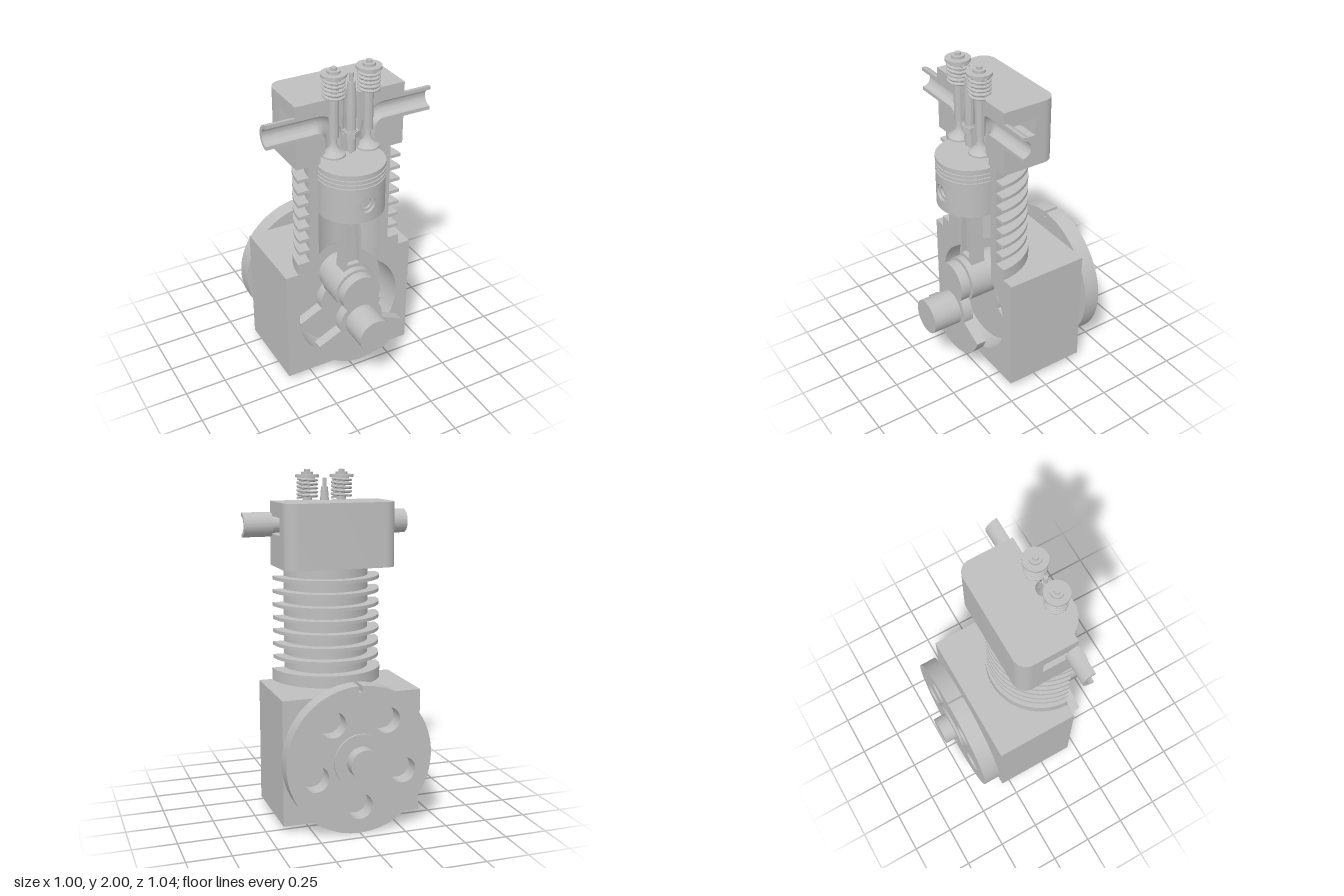
import * as THREE from 'three';
import { toCreasedNormals } from 'three/addons/utils/BufferGeometryUtils.js';

const Z = 0.195;   // cutting plane and cylinder axis
const ZB = -0.005; // depth of the cut cavities
const C = 0.427;   // crankshaft height
const PIN = 0.607; // crankpin height
const V = (p) => new THREE.Vector2(p[0], p[1]);

// Points along an arc, angles in degrees
function arc(cx, cy, r, a0, a1, n = 32) {
  return Array.from({ length: n + 1 }, (_, i) => {
    const a = (a0 + (a1 - a0) * i / n) * Math.PI / 180;
    return [cx + r * Math.cos(a), cy + r * Math.sin(a)];
  });
}

function shapeOf(pts, holes = []) {
  const s = new THREE.Shape(pts.map(V));
  for (const h of holes) s.holes.push(new THREE.Path(h.map(V)));
  return s;
}

// Extrude an outline in x,y from z0 to z1
function extZ(pts, z0, z1, holes) {
  const g = new THREE.ExtrudeGeometry(shapeOf(pts, holes), { depth: z1 - z0, bevelEnabled: false });
  return g.translate(0, 0, z0);
}

// Extrude an outline in x,-z from y0 to y1
function extY(pts, y0, y1) {
  const g = new THREE.ExtrudeGeometry(shapeOf(pts), { depth: y1 - y0, bevelEnabled: false });
  return g.rotateX(-Math.PI / 2).translate(0, y0, 0);
}

function lathe(pts, start = 0, len = Math.PI * 2, n = 48) {
  return new THREE.LatheGeometry(pts.map(V), n, start, len);
}

// Surface over a grid of nu by nv cells
function grid(nu, nv, fn) {
  const g = new THREE.PlaneGeometry(1, 1, nu, nv), p = g.attributes.position;
  for (let i = 0; i < p.count; i++) {
    p.setXYZ(i, ...fn(i % (nu + 1), Math.floor(i / (nu + 1))));
  }
  g.computeVertexNormals();
  return g;
}

const cylZ = (r, z0, z1, y) =>
  new THREE.CylinderGeometry(r, r, z1 - z0, 48).rotateX(Math.PI / 2).translate(0, y, (z0 + z1) / 2);

// Block with a half-round vertical bore, open to the cutting plane
const halfBore = (r, y0, y1) =>
  extY([...arc(0, -Z, r, 0, 180), [-r, 0.02], [r, 0.02]], y0, y1);

export function createModel() {
  const model = new THREE.Group();
  const metal = new THREE.MeshStandardMaterial({ color: 0xbfbfbf, side: THREE.DoubleSide });
  metal.name = 'grey metal';
  const add = (name, geo, x = 0, z = 0) => {
    const m = new THREE.Mesh(toCreasedNormals(geo, 0.5), metal);
    m.name = name;
    m.position.set(x, 0, z);
    model.add(m);
    return m;
  };

  // Crankcase with round cavity open to the bore
  const yc = Math.sqrt(0.33 ** 2 - 0.2 ** 2), ac = Math.atan2(yc, 0.2) * 180 / Math.PI;
  add('crankcaseFront', extZ([[-0.41, 0.04], [0.41, 0.04], [0.41, 0.77], [0.2, 0.77],
    ...arc(0, C, 0.33, ac, -180 - ac, 72), [-0.2, 0.77], [-0.41, 0.77]], ZB, Z));
  add('crankcaseBack', new THREE.BoxGeometry(0.82, 0.73, 0.3).translate(0, 0.405, -0.155));
  const throat = halfBore(0.2, 0.6, 0.77), tp = throat.attributes.position;
  for (let i = 0; i < tp.count; i++) {
    if (tp.getY(i) < 0.65) tp.setY(i, C + Math.sqrt(Math.max(0, 0.33 ** 2 - tp.getX(i) ** 2)));
  }
  add('crankcaseThroat', throat);

  // Half cylinder barrel with cooling fins
  const barrel = [[0.2, 0.77], [0.33, 0.77], [0.33, 0.84], [0.255, 0.84]];
  for (let i = 0; i < 7; i++) {
    const y = 0.912 + i * 0.078;
    barrel.push([0.255, y - 0.01], [0.322, y - 0.01], [0.322, y + 0.01], [0.255, y + 0.01]);
  }
  barrel.push([0.255, 1.455], [0.2, 1.455]);
  add('barrel', lathe([...barrel, barrel[0]], Math.PI / 2, Math.PI), 0, Z);
  for (const s of [1, -1]) {
    add('barrelCutFace', new THREE.ShapeGeometry(shapeOf(barrel.map(([x, y]) => [s * x, y]))), 0, Z);
  }

  // Cylinder head
  add('headBack', extY([[-0.33, -ZB], [0.33, -ZB], ...arc(0.255, 0.065, 0.075, 0, 90, 10),
    ...arc(-0.255, 0.065, 0.075, 90, 180, 10)], 1.455, 1.825));
  add('chamber', halfBore(0.185, 1.455, 1.495));
  add('plugThreadHole', halfBore(0.03, 1.495, 1.6));
  add('plugRecess', halfBore(0.05, 1.6, 1.825));
  const upper = [[0.03, 1.495], [0.055, 1.495], ...arc(0.205, 1.59, 0.15, 180, 90, 14),
    [0.33, 1.74], [0.33, 1.825], [0.05, 1.825], [0.05, 1.6], [0.03, 1.6]];
  const lower = [[0.185, 1.455], [0.33, 1.455], [0.33, 1.64],
    ...arc(0.205, 1.59, 0.05, 90, 180, 14), [0.155, 1.495], [0.185, 1.495]];
  const path = [[0.105, 1.495, 180], ...arc(0.205, 1.59, 0.1, 180, 90, 14)
    .map((p, i) => [...p, 180 - i * 90 / 14]), [0.5, 1.69, 90]];

  for (const s of [1, -1]) {
    const side = s > 0 ? 'left' : 'right';
    const mir = (pts) => pts.map(([x, y]) => [s * x, y]);
    add(side + 'HeadUpper', extZ(mir(upper), ZB, Z));
    add(side + 'HeadLower', extZ(mir(lower), ZB, Z));

    // Half-round port channel and its pipe
    add(side + 'Port', grid(path.length - 1, 20, (i, j) => {
      const [x, y, deg] = path[i], a = j / 20 * Math.PI, d = deg * Math.PI / 180;
      const k = 0.05 * Math.cos(a);
      return [s * (x + k * Math.cos(d)), y + k * Math.sin(d), Z - 0.05 * Math.sin(a)];
    }));
    const pipe = extZ([...arc(0, 0, 0.071, 0, 180), ...arc(0, 0, 0.05, 180, 0)], 0, 0.17);
    pipe.rotateZ(Math.PI / 2).rotateY(Math.PI / 2);
    // keep the half behind the cutting plane
    pipe.computeBoundingBox();
    if (pipe.boundingBox.max.z > 0.01) pipe.rotateX(Math.PI);
    add(side + 'Pipe', pipe.translate(s > 0 ? 0.33 : -0.5, 1.69, Z));

    // Valve, guide, spring and retainer
    const vx = s * 0.105;
    add(side + 'Valve', lathe([[0, 1.493], [0.066, 1.493], [0.066, 1.503], [0.042, 1.52],
      [0.025, 1.54], [0.017, 1.57], [0.017, 2], [0, 2]], 0, Math.PI * 2, 32), vx, Z);
    add(side + 'ValveGuide', lathe([[0.017, 1.6], [0.028, 1.6], [0.028, 1.85], [0.017, 1.85]]), vx, Z);
    add(side + 'Retainer', lathe([[0, 1.935], [0.045, 1.935], [0.045, 1.955], [0.07, 1.955],
      [0.07, 1.97], [0.035, 1.97], [0.035, 1.985], [0, 1.985]]), vx, Z);
    const coil = new THREE.CatmullRomCurve3(Array.from({ length: 101 }, (_, i) => {
      const a = i / 100 * Math.PI * 10;
      return new THREE.Vector3(0.055 * Math.cos(a), 1.835 + 0.112 * i / 100, 0.055 * Math.sin(a));
    }));
    add(side + 'Spring', new THREE.TubeGeometry(coil, 160, 0.008, 8), vx, Z);
  }

  // Spark plug
  add('sparkPlug', lathe([[0, 1.475], [0.008, 1.475], [0.008, 1.495], [0.028, 1.495], [0.028, 1.58],
    [0.034, 1.58], [0.034, 1.62], [0.028, 1.62], [0.028, 1.8], [0.02, 1.9], [0.012, 1.9],
    [0.012, 1.95], [0, 1.95]], 0, Math.PI * 2, 32), 0, Z);
  add('sparkPlugHex', new THREE.CylinderGeometry(0.046, 0.046, 0.035, 6).translate(0, 1.597, 0), 0, Z);

  // Piston: crown with ring grooves, skirt with a pin hole at the front
  const R = 0.195, crown = [[R, 1.32]];
  for (const y of [1.355, 1.38, 1.405]) {
    crown.push([R, y], [R - 0.008, y], [R - 0.008, y + 0.012], [R, y + 0.012]);
  }
  add('pistonCrown', lathe([...crown, [R, 1.44], [0, 1.44]], 0, Math.PI * 2, 64), 0, Z);
  add('pistonSkirt', lathe([[0, 1.35], [0.165, 1.35], [0.165, 1.14], [R, 1.14], [R, 1.18]],
    0, Math.PI * 2, 64), 0, Z);
  const wa = Math.asin(0.07 / R);
  add('pistonWall', lathe([[R, 1.18], [R, 1.32]], wa, Math.PI * 2 - 2 * wa, 64), 0, Z);
  add('pistonPinHole', grid(48, 2, (i, j) => {
    const a = i / 48 * Math.PI * 2, c = Math.cos(a), s = Math.sin(a);
    const r = j < 2 ? 0.05 : 0.07 / Math.max(Math.abs(c), Math.abs(s));
    const x = r * c;
    return [x, 1.25 + r * s, j === 0 ? 0.35 : Z + Math.sqrt(R * R - x * x)];
  }));
  add('wristPin', extZ(arc(0, 1.25, 0.05, 0, 360, 40), 0.03, 0.372, [arc(0, 1.25, 0.033, 0, 360, 32)]));

  // Connecting rod with I-section
  add('rodFrame', extZ([[-0.064, 0.7], [0.064, 0.7], [0.032, 1.22], [-0.032, 1.22]], 0.15, 0.24,
    [[[-0.04, 0.762], [0.04, 0.762], [0.02, 1.16], [-0.02, 1.16]]]));
  add('rodWeb', extZ([[-0.05, 0.72], [0.05, 0.72], [0.025, 1.18], [-0.025, 1.18]], 0.18, 0.21));
  add('rodBigEnd', cylZ(0.134, 0.112, 0.278, PIN));
  add('rodSmallEnd', cylZ(0.07, 0.15, 0.24, 1.25));

  // Crankshaft: two webs with counterweights, pin and shafts
  const web = [...arc(0, PIN, 0.122, -39, 219), ...arc(0, C, 0.14, 132.7, 193, 12),
    ...arc(0, C, 0.297, 199.7, 340.3, 40), ...arc(0, C, 0.14, 347, 407.3, 12)];
  add('frontWeb', extZ(web, 0.285, 0.345));
  add('rearWeb', extZ(web, 0.045, 0.105));
  add('crankpin', cylZ(0.105, 0.06, 0.33, PIN));
  add('frontShaft', cylZ(0.105, 0.3, 0.52, C));
  add('rearShaft', cylZ(0.085, -0.52, 0.05, C));

  // Flywheel with five holes and a timing notch
  const holes = Array.from({ length: 5 }, (_, i) => {
    const a = (-90 + i * 72) * Math.PI / 180;
    return arc(0.27 * Math.cos(a), C + 0.27 * Math.sin(a), 0.075, 0, 360, 32);
  });
  add('flywheel', extZ([...arc(0, C, 0.427, 91.4, 448.6, 96), [0.01, C + 0.39], [-0.01, C + 0.39]],
    -0.433, -0.335, holes));
  add('flywheelHub', cylZ(0.155, -0.447, -0.321, C));

  return model;
}
